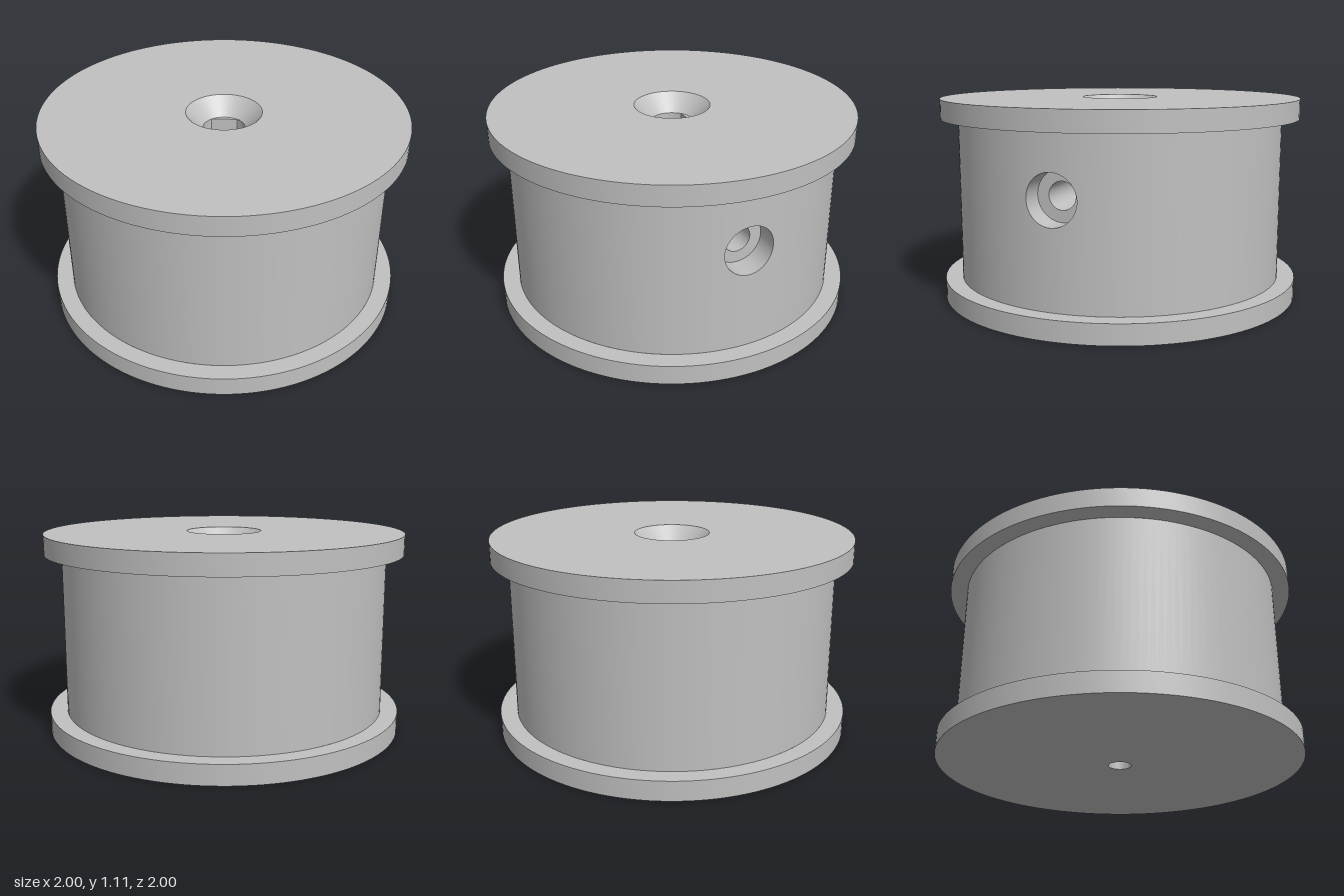
import * as THREE from 'three';
import { toCreasedNormals } from 'three/addons/utils/BufferGeometryUtils.js';

const SEG = 128;
const H = 1.11, FLANGE = 0.11, DRUM_R = 0.905;      // overall spool
const BORE_R = 0.115, FLAT_Z = 0.09, BORE_TOP = 1.015, THROUGH_R = 0.063;
const HOLE_Y = 0.667, HEAD_R = 0.135, SCREW_R = 0.073, HEAD_X = 0.77;

// x on a cylinder of radius R at a given z
const onCylinder = (R, z) => Math.sqrt(R * R - z * z);

// Part of a cylinder wall around a round side hole, facing out (sign 1) or in (-1)
function piercedPatch(R, halfWidth, y0, y1, holeR, sign) {
  const rings = 8, n = 64, pos = [], nor = [], idx = [];
  for (let i = 0; i <= rings; i++) {
    for (let j = 0; j <= n; j++) {
      const a = (j / n) * Math.PI * 2, c = Math.cos(a), s = Math.sin(a);
      const m = Math.max(Math.abs(c), Math.abs(s)), t = i / rings;
      const edgeY = (s / m) * (s > 0 ? y1 - HOLE_Y : HOLE_Y - y0);
      const z = -THREE.MathUtils.lerp(holeR * c, (halfWidth * c) / m, t);
      const y = HOLE_Y + THREE.MathUtils.lerp(holeR * s, edgeY, t);
      const x = onCylinder(R, z);
      pos.push(x, y, z);
      nor.push((sign * x) / R, 0, (sign * z) / R);
      if (i < rings && j < n) {
        const p = i * (n + 1) + j, q = p + n + 1;
        if (sign > 0) idx.push(p, q, q + 1, p, q + 1, p + 1);
        else idx.push(p, q + 1, q, p, p + 1, q + 1);
      }
    }
  }
  const g = new THREE.BufferGeometry();
  g.setAttribute('position', new THREE.Float32BufferAttribute(pos, 3));
  g.setAttribute('normal', new THREE.Float32BufferAttribute(nor, 3));
  g.setIndex(idx);
  return g;
}

// Open vertical wall over a range of angles
function wall(R, y0, y1, start, length) {
  return new THREE.CylinderGeometry(R, R, y1 - y0, SEG, 1, true, start, length)
    .translate(0, (y0 + y1) / 2, 0);
}

// Sideways tube whose ends follow the given x(z) rules
function sideTube(r, xIn, xOut) {
  const g = new THREE.CylinderGeometry(r, r, 1, 64, 1, true).rotateZ(-Math.PI / 2);
  const p = g.attributes.position;
  for (let i = 0; i < p.count; i++) {
    const z = p.getZ(i);
    p.setX(i, p.getX(i) > 0 ? xOut(z) : xIn(z));
  }
  return g.translate(0, HOLE_Y, 0);
}

function lathe(points) {
  const g = new THREE.LatheGeometry(points.map(([x, y]) => new THREE.Vector2(x, y)), SEG);
  return toCreasedNormals(g, 0.5);
}

export function createModel() {
  const model = new THREE.Group();
  const grey = new THREE.MeshStandardMaterial({ color: 0xc0c0c0, side: THREE.DoubleSide });
  grey.name = 'plainGrey';
  const add = (name, geometry) => {
    const mesh = new THREE.Mesh(geometry, grey);
    mesh.name = name;
    model.add(mesh);
  };

  // Flanges, with the through hole below and the countersink above
  add('bottomFlange', lathe([
    [THROUGH_R, FLANGE], [THROUGH_R, 0], [1, 0], [1, FLANGE], [DRUM_R, FLANGE],
  ]));
  add('topFlange', lathe([
    [DRUM_R, H - FLANGE], [1, H - FLANGE], [1, H], [0.208, H], [BORE_R, BORE_TOP],
  ]));

  // Drum: a pierced front to the left side, plain for the rest
  const w = 0.3, a = Math.asin(w / DRUM_R);
  add('drumHoleSide', piercedPatch(DRUM_R, w, FLANGE, H - FLANGE, HEAD_R, 1));
  add('drum', wall(DRUM_R, FLANGE, H - FLANGE, Math.PI / 2 + a, Math.PI * 2 - 2 * a));

  // Stepped screw hole from the drum into the bore
  add('screwHeadRecess', sideTube(HEAD_R, () => HEAD_X, z => onCylinder(DRUM_R, z)));
  add('screwSeat', new THREE.RingGeometry(SCREW_R, HEAD_R, 64)
    .rotateY(Math.PI / 2).translate(HEAD_X, HOLE_Y, 0));
  add('screwHole', sideTube(SCREW_R, z => onCylinder(BORE_R, z), () => HEAD_X));

  // D-shaped shaft bore with its flat at the back
  const half = onCylinder(BORE_R, FLAT_Z), flatAngle = Math.atan2(FLAT_Z, half);
  add('boreHoleSide', piercedPatch(BORE_R, FLAT_Z, FLANGE, BORE_TOP, SCREW_R, -1));
  add('boreWall', wall(BORE_R, FLANGE, BORE_TOP, -Math.PI / 2 - flatAngle, Math.PI));
  add('boreFlat', new THREE.PlaneGeometry(half * 2, BORE_TOP - FLANGE)
    .translate(0, (BORE_TOP + FLANGE) / 2, -FLAT_Z));

  // Ledge above the flat and floor of the bore (shape y becomes -z)
  const ledge = new THREE.Shape();
  ledge.absarc(0, 0, BORE_R, flatAngle, Math.PI - flatAngle, false);
  add('boreLedge', new THREE.ShapeGeometry(ledge, 24)
    .rotateX(-Math.PI / 2).translate(0, BORE_TOP, 0));
  const floor = new THREE.Shape();
  floor.absarc(0, 0, BORE_R, Math.PI - flatAngle, Math.PI * 2 + flatAngle, false);
  floor.holes.push(new THREE.Path().absarc(0, 0, THROUGH_R, 0, Math.PI * 2, true));
  add('boreFloor', new THREE.ShapeGeometry(floor, 48)
    .rotateX(-Math.PI / 2).translate(0, FLANGE, 0));

  return model;
}
